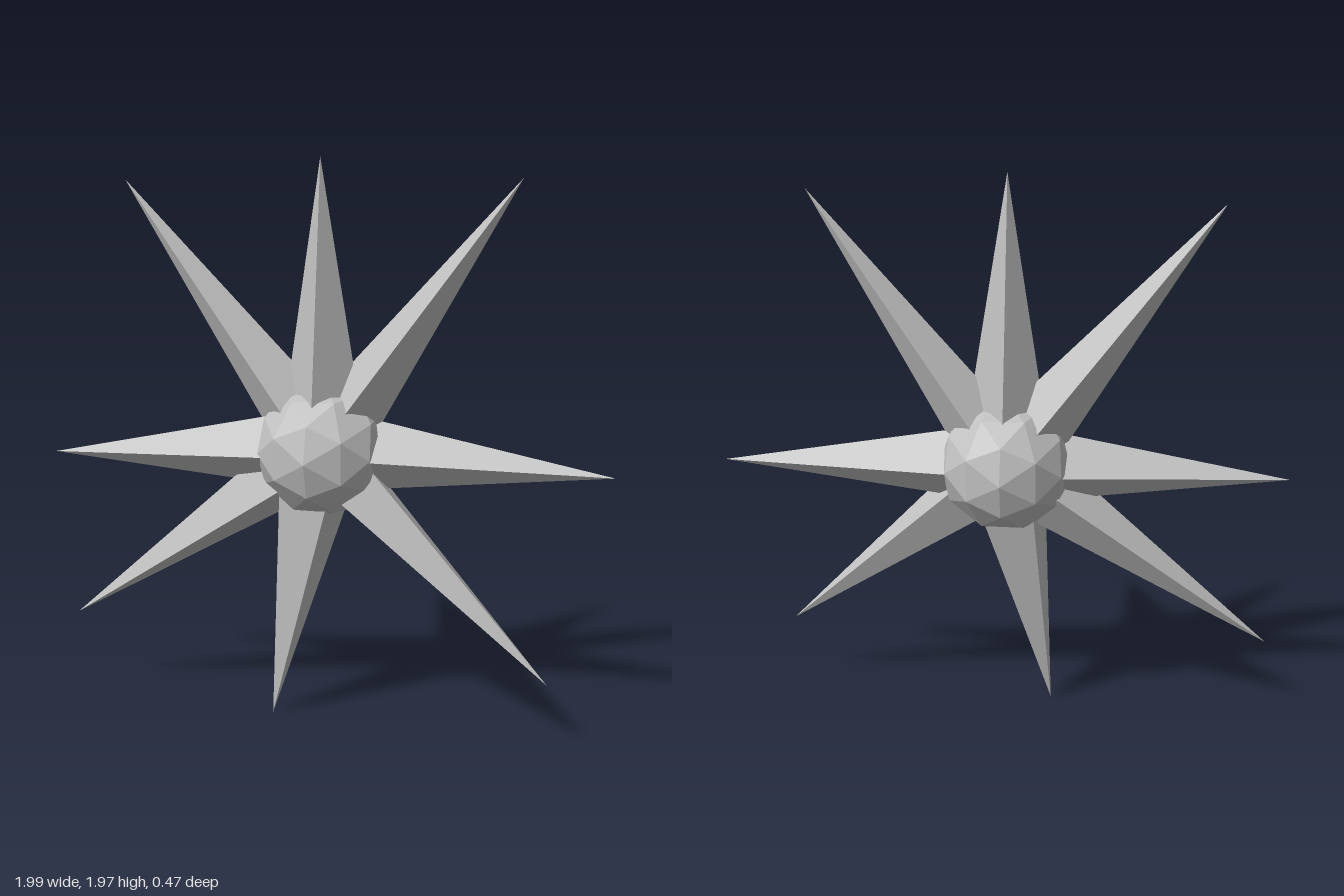
import * as THREE from 'three';

const CENTER = new THREE.Vector3(-0.015, 0.98, 0);
const BASE = 0.08; // spike bases sit hidden inside the core

// tip x, y, z, taper (radius per unit length), roll in degrees
const SPIKES = [
  [-0.015, 1.98, 0.03, 0.16, 0],
  [0.655, 1.92, 0.01, 0.115, 0],
  [0.99, 0.955, 0.01, 0.15, 0],
  [0.81, 0.265, 0.16, 0.118, 30],
  [-0.175, 0.015, 0.095, 0.16, -35],
  [-0.95, 0.305, 0.06, 0.118, -17],
  [-1.0, 0.925, 0.085, 0.152, 0],
  [-0.73, 1.895, 0.0, 0.12, 0],
];

// four-sided spike from the core to its tip, one corner turned to the front
function makeSpike([x, y, z, taper, roll], material) {
  const dir = new THREE.Vector3(x, y, z).sub(CENTER);
  const reach = dir.length();
  dir.normalize();
  const length = reach - BASE;
  const side = new THREE.Vector3().crossVectors(dir, new THREE.Vector3(0, 0, 1)).normalize();
  const front = new THREE.Vector3().crossVectors(side, dir);

  const geometry = new THREE.ConeGeometry(taper * length, length, 4);
  geometry.translate(0, BASE + length / 2, 0);
  geometry.rotateY(THREE.MathUtils.degToRad(roll));
  geometry.applyMatrix4(new THREE.Matrix4().makeBasis(side, dir, front));

  const spike = new THREE.Mesh(geometry, material);
  spike.position.copy(CENTER);
  return spike;
}

export function createModel() {
  const model = new THREE.Group();
  model.name = 'spikedStar';

  const grey = new THREE.MeshStandardMaterial({ color: 0xc0c0c0, flatShading: true });
  grey.name = 'lightGrey';

  // faceted ball in the middle
  const core = new THREE.Mesh(new THREE.IcosahedronGeometry(0.235, 1), grey);
  core.name = 'core';
  core.position.copy(CENTER);
  model.add(core);

  // ring of spikes
  SPIKES.forEach((data, i) => {
    const spike = makeSpike(data, grey);
    spike.name = `spike${i + 1}`;
    model.add(spike);
  });

  return model;
}
